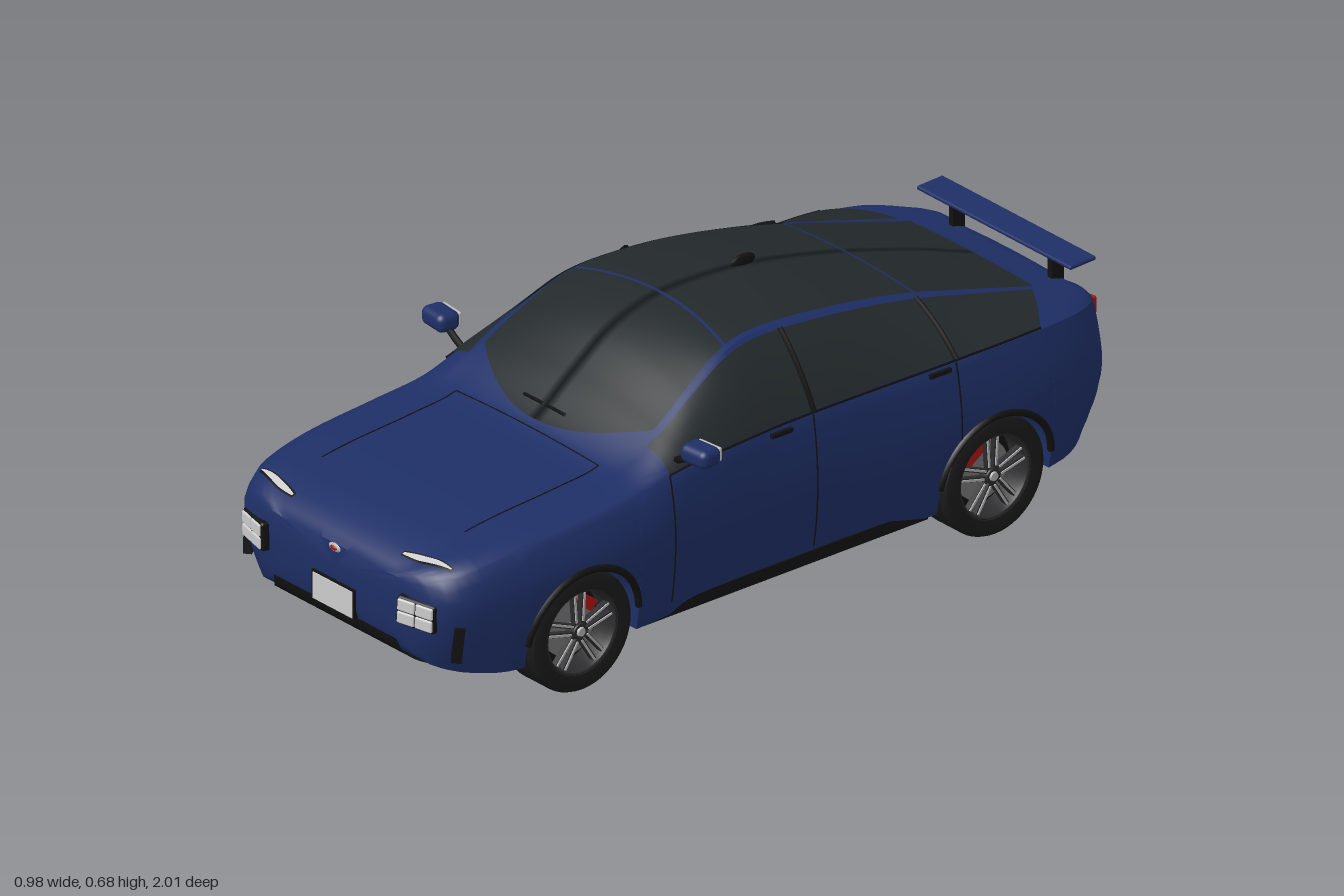
import * as THREE from 'three';
import { toCreasedNormals } from 'three/addons/utils/BufferGeometryUtils.js';
import { RoundedBoxGeometry } from 'three/addons/geometries/RoundedBoxGeometry.js';
import { ParametricGeometry } from 'three/addons/geometries/ParametricGeometry.js';

const mat = (color, side = THREE.DoubleSide) => new THREE.MeshStandardMaterial({ color, side });
const BLUE = mat(0x1e2f66), GLASS = mat(0x23292b), BLACK = mat(0x121212), TYRE = mat(0x1a1a1a),
  RIM = mat(0x2c2c2e), SILVER = mat(0xb4b4b4), LAMP = mat(0xd8d8d8), RED = mat(0xb01414), STEEL = mat(0x777777);
const V = (x, y, z) => new THREE.Vector3(x, y, z);
const { lerp, smoothstep, clamp } = THREE.MathUtils;

// Body sections: z, half width, floor y, belt x, belt y, roof rail x, roof rail y, top y
const ROWS = [
  [0.99, 0.27, 0.2, 0.25, 0.325, 0.18, 0.335, 0.34],
  [0.975, 0.325, 0.155, 0.3, 0.34, 0.22, 0.355, 0.36],
  [0.94, 0.365, 0.13, 0.34, 0.358, 0.25, 0.375, 0.38],
  [0.88, 0.388, 0.115, 0.365, 0.375, 0.27, 0.393, 0.4],
  [0.75, 0.408, 0.105, 0.38, 0.395, 0.28, 0.413, 0.42],
  [0.55, 0.415, 0.1, 0.385, 0.41, 0.285, 0.428, 0.435],
  [0.42, 0.41, 0.1, 0.38, 0.425, 0.29, 0.445, 0.455],
  [0.3, 0.4, 0.1, 0.385, 0.45, 0.3, 0.51, 0.54],
  [0.2, 0.398, 0.1, 0.385, 0.455, 0.287, 0.57, 0.61],
  [0.1, 0.395, 0.1, 0.383, 0.458, 0.27, 0.62, 0.648],
  [0, 0.395, 0.1, 0.38, 0.46, 0.255, 0.637, 0.66],
  [-0.2, 0.395, 0.1, 0.38, 0.46, 0.25, 0.622, 0.648],
  [-0.45, 0.405, 0.1, 0.385, 0.46, 0.235, 0.575, 0.596],
  [-0.7, 0.413, 0.11, 0.385, 0.46, 0.225, 0.505, 0.522],
  [-0.85, 0.395, 0.125, 0.36, 0.45, 0.22, 0.462, 0.468],
  [-0.93, 0.36, 0.14, 0.32, 0.435, 0.21, 0.443, 0.447],
  [-0.975, 0.31, 0.165, 0.28, 0.425, 0.19, 0.432, 0.437],
  [-0.99, 0.26, 0.2, 0.24, 0.41, 0.17, 0.42, 0.425],
];
const WHEEL_Z = [0.605, -0.595], WHEEL_Y = 0.145, ARCH = 0.16;

// Smooth interpolation between section rows
function section(z) {
  z = clamp(z, -0.99, 0.99);
  let i = 0;
  while (i < ROWS.length - 2 && ROWS[i + 1][0] > z) i++;
  const a = ROWS[i], b = ROWS[i + 1], p = ROWS[Math.max(i - 1, 0)], q = ROWS[Math.min(i + 2, ROWS.length - 1)];
  const h = b[0] - a[0], u = (z - a[0]) / h, u2 = u * u, u3 = u2 * u;
  return a.map((v, k) => {
    const m0 = h * (b[k] - p[k]) / (b[0] - p[0]), m1 = h * (q[k] - v) / (q[0] - a[0]);
    return (2 * u3 - 3 * u2 + 1) * v + (u3 - 2 * u2 + u) * m0 + (3 * u2 - 2 * u3) * b[k] + (u3 - u2) * m1;
  });
}

// Lower edge of the side panel, lifted over the wheels
function sill(z, floor) {
  for (const c of WHEEL_Z) {
    const d = Math.abs(z - c);
    if (d <= ARCH) return Math.max(floor, WHEEL_Y + Math.sqrt(ARCH * ARCH - d * d));
  }
  return floor;
}
function sideX(s, z, y) {
  const ym = Math.min(0.3, s[4] - 0.05), k = 0.02 + 0.05 * smoothstep(Math.abs(z), 0.8, 0.99);
  if (y < ym) return s[1] - k * ((ym - y) / (ym - s[2])) ** 2;
  return s[1] + (s[3] - s[1]) * clamp((y - ym) / (s[4] - ym), 0, 1) ** 1.8;
}

// Outer skin: t 0-1 side panel, 1-2 belt to roof rail, 2-3 rail to centre line
function skin(z, t) {
  const s = section(z);
  if (t <= 1) {
    const y = lerp(sill(z, s[2]), s[4], t);
    return V(sideX(s, z, y), y, z);
  }
  if (t <= 2) {
    const u = t - 1, bulge = 0.03 * u * (1 - u);
    return V(lerp(s[3], s[5], u) + bulge, lerp(s[4], s[6], u) + bulge, z);
  }
  const u = t - 2;
  return V(s[5] * (1 - u), s[6] + (s[7] - s[6]) * (1 - (1 - u) ** 2), z);
}
function raised(z, t, off, side = 1) {
  const e = 0.004, tc = Math.min(t, 2.98);
  const n = skin(z - e, tc).sub(skin(z + e, tc)).cross(skin(z, tc + e).sub(skin(z, tc - e))).normalize();
  const p = skin(z, t).addScaledVector(n, off);
  if (t > 2.999) p.x = 0;
  p.x *= side;
  return p;
}
// Point on the upper skin at a given x and z
function onTop(x, z, off) {
  let lo = 1, hi = 3;
  for (let i = 0; i < 24; i++) {
    const m = (lo + hi) / 2;
    if (skin(z, m).x > Math.abs(x)) lo = m; else hi = m;
  }
  return raised(z, lo, off, x < 0 ? -1 : 1);
}

function bodyGeometry() {
  const zs = ROWS.map(r => r[0]);
  for (let i = 0; i < 80; i++) zs.push(0.98 - i * 0.0248);
  for (const c of WHEEL_Z) {
    for (let k = 0; k <= 20; k++) zs.push(c + (ARCH - 0.0002) * Math.cos(k * Math.PI / 20));
    zs.push(c + ARCH + 0.0005, c - ARCH - 0.0005);
  }
  zs.sort((a, b) => b - a);
  const pos = [], idx = [];
  let n = 0;
  for (const z of zs) {
    const s = section(z), low = skin(z, 0), inner = Math.min(0.26, low.x - 0.01);
    const half = [V(0, s[2], z), V(inner, s[2], z), V(inner, low.y, z)];
    for (let k = 0; k <= 28; k++) half.push(skin(z, k <= 20 ? k / 10 : 2 + (k - 20) / 8));
    const ring = [...half, ...half.slice(1, -1).reverse().map(p => V(-p.x, p.y, p.z))];
    n = ring.length;
    ring.forEach(p => pos.push(p.x, p.y, p.z));
  }
  for (let i = 0; i < zs.length - 1; i++) for (let j = 0; j < n; j++) {
    const a = i * n + j, b = i * n + (j + 1) % n;
    idx.push(a, a + n, b, b, a + n, b + n);
  }
  const c = pos.length / 3, last = (zs.length - 1) * n;
  pos.push(0, 0.28, 0.99, 0, 0.3, -0.99);
  for (let j = 0; j < n; j++) {
    const k = (j + 1) % n;
    idx.push(c, j, k, c + 1, last + k, last + j);
  }
  const g = new THREE.BufferGeometry();
  g.setAttribute('position', new THREE.Float32BufferAttribute(pos, 3));
  g.setIndex(idx);
  return toCreasedNormals(g, 0.6);
}

export function createModel() {
  const car = new THREE.Group();
  car.name = 'car';
  const add = (name, geo, m, p = [0, 0, 0], r = [0, 0, 0], parent = car) => {
    const o = new THREE.Mesh(geo, m);
    o.name = name;
    o.position.set(...p);
    o.rotation.set(...r);
    parent.add(o);
    return o;
  };
  const box = (w, h, d) => new THREE.BoxGeometry(w, h, d);
  const sheet = (name, fn, m, nu = 20, nv = 16) =>
    add(name, new ParametricGeometry((u, v, out) => out.copy(fn(u, v)), nu, nv), m);
  const line = (name, pts, r, m = BLACK) =>
    add(name, new THREE.TubeGeometry(new THREE.CatmullRomCurve3(pts), 32, r, 5), m);
  const steps = (n, fn) => Array.from({ length: n + 1 }, (_, i) => fn(i / n));

  add('body', bodyGeometry(), mat(0x1e2f66, THREE.FrontSide));

  // Windscreen, roof and rear glass, each lying across both halves of the roof
  const across = (name, z0, z1) => sheet(name, (u, v) => {
    const w = (2 * v - 1) * 0.96, a = Math.abs(w);
    return raised(lerp(z0(a), z1(a), u), 3 - a, 0.004, Math.sign(w) || 1);
  }, GLASS, 20, 24);
  across('windscreen', a => 0.41 - 0.11 * a * a, a => 0.05 + 0.03 * a * a);
  across('roofPanel', a => 0.042 + 0.03 * a * a, a => -0.485 - 0.015 * a * a);
  across('rearGlass', a => -0.493 - 0.015 * a * a, () => -0.86);

  // Bonnet front shut line
  line('bonnetSeam', steps(10, u => onTop(lerp(-0.245, 0.245, u), 0.43, 0.001)), 0.0015);

  for (const s of [1, -1]) {
    const side = s > 0 ? 'left' : 'right';
    // Side windows, pillars between them, door seams and handles
    const pane = (name, z0, z1, rake = 0) => sheet(side + name, (u, v) =>
      raised(lerp(z0, z1 - rake * v, u), 1.04 + 0.9 * v, 0.004, s), GLASS);
    pane('FrontWindow', 0.34, -0.075);
    pane('RearWindow', -0.085, -0.485);
    pane('QuarterWindow', -0.495, -0.74, 0.1);
    for (const z of [-0.08, -0.49])
      line(side + 'Pillar', steps(8, u => raised(z, 1.03 + 0.92 * u, 0.004, s)), 0.007);
    for (const z of [0.34, -0.08])
      line(side + 'DoorSeam', steps(12, u => raised(z, 0.1 + 0.9 * u, 0, s)), 0.002);
    line(side + 'RearDoorSeam', steps(8, u => raised(-0.49, u, 0, s)), 0.002);
    line(side + 'WindowTrim', steps(20, u => raised(lerp(0.34, -0.74, u), 1.02, 0.003, s)), 0.003);
    for (const z of [0.02, -0.44]) add(side + 'DoorHandle', box(0.01, 0.01, 0.06), BLACK, [s * 0.39, 0.45, z]);
    line(side + 'BonnetSeam', steps(12, u => onTop(s * 0.245, lerp(0.43, 0.82, u), 0.001)), 0.0015);
    add(side + 'Skirt', box(0.03, 0.03, 0.83), BLACK, [s * 0.368, 0.11, 0.005]);

    // Black lips round the wheel arches
    for (const c of WHEEL_Z) line(side + 'WheelArch', steps(24, u => {
      const a = u * Math.PI, z = c + (ARCH - 0.001) * Math.cos(a), p = skin(z, 0);
      return V(s * p.x, p.y, z);
    }), 0.009);

    // Headlamp with four cells, running light strip and bumper vent
    const lamp = new THREE.Group();
    lamp.name = side + 'Headlamp';
    lamp.position.set(s * 0.275, 0.268, 0.975);
    lamp.rotation.set(0, s * 0.28, s * -0.04);
    car.add(lamp);
    add('lampFrame', new RoundedBoxGeometry(0.104, 0.07, 0.04, 2, 0.008), BLACK, [0, 0, 0], [0, 0, 0], lamp);
    for (const x of [-1, 1]) for (const y of [-1, 1])
      add('lampCell', new RoundedBoxGeometry(0.046, 0.029, 0.012, 2, 0.004), LAMP, [x * 0.024, y * 0.0155, 0.018], [0, 0, 0], lamp);
    const strip = (name, grow, off, m) => sheet(side + name, (u, v) => onTop(
      s * lerp(0.19 - grow, 0.325 + grow, u),
      lerp(0.95, 0.925, u) + (v - 0.5) * (0.016 * Math.sin(Math.PI * (0.1 + 0.85 * u)) + 2 * grow), off), m, 16, 4);
    strip('LightSurround', 0.004, 0.002, BLACK);
    strip('RunningLight', 0, 0.004, LAMP);
    add(side + 'BumperVent', box(0.024, 0.085, 0.02), BLACK, [s * 0.36, 0.208, 0.936], [0, s * 0.9, s * -0.1]);

    // Door mirror
    line(side + 'MirrorArm', [V(s * 0.365, 0.465, 0.31), V(s * 0.395, 0.482, 0.31), V(s * 0.425, 0.495, 0.305)], 0.009);
    add(side + 'Mirror', new RoundedBoxGeometry(0.084, 0.046, 0.06, 4, 0.018), BLUE, [s * 0.447, 0.51, 0.305], [0, s * 0.1, 0]);
    add(side + 'MirrorGlass', new RoundedBoxGeometry(0.068, 0.034, 0.008, 2, 0.004), SILVER, [s * 0.444, 0.51, 0.274], [0, s * 0.1, 0]);

    // Tail lamp and spoiler post
    add(side + 'TailLamp', new RoundedBoxGeometry(0.085, 0.045, 0.03, 2, 0.006), RED, [s * 0.225, 0.392, -0.982], [0, s * 0.15, 0]);
    add(side + 'SpoilerPost', box(0.014, 0.08, 0.035), BLACK, [s * 0.17, 0.465, -0.962]);

    WHEEL_Z.forEach((z, i) => addWheel(s, z, side + (i ? 'Rear' : 'Front') + 'Wheel', i ? 1 : -1));
  }

  // Tyre, rim, five split spokes, brake disc and caliper; local y is the axle
  function addWheel(s, z, name, toMiddle) {
    const holder = new THREE.Group(), w = new THREE.Group();
    holder.name = name;
    holder.position.set(s * 0.343, WHEEL_Y, z);
    holder.rotation.y = s > 0 ? 0 : Math.PI;
    w.rotation.z = -Math.PI / 2;
    holder.add(w);
    car.add(holder);
    const lathe = pts => toCreasedNormals(new THREE.LatheGeometry(pts.map(p => new THREE.Vector2(...p)), 48), 0.6);
    const tread = [-0.025, 0, 0.025].flatMap(y => [[0.145, y - 0.005], [0.139, y - 0.003], [0.139, y + 0.003], [0.145, y + 0.005]]);
    const put = (n, g, m, p, r) => add(n, g, m, p, r, w);
    put('tyre', lathe([[0.1, -0.052], [0.13, -0.057], [0.141, -0.052], [0.145, -0.043], ...tread,
      [0.145, 0.043], [0.141, 0.052], [0.13, 0.057], [0.1, 0.052]]), TYRE);
    put('rim', lathe([[0.1, -0.052], [0.095, -0.04], [0.093, 0.035], [0.097, 0.05], [0.103, 0.053]]), RIM);
    put('hubPlate', new THREE.CylinderGeometry(0.094, 0.094, 0.01, 40), BLACK, [0, -0.015, 0]);
    put('brakeDisc', new THREE.CylinderGeometry(0.072, 0.072, 0.01, 40), STEEL, [0, 0.005, 0]);
    const d = toMiddle * s, a = 0.6;
    put('caliper', box(0.028, 0.024, 0.06), RED, [-Math.cos(a) * 0.064, 0.012, d * Math.sin(a) * 0.064], [0, d * a, 0]);
    for (let k = 0; k < 5; k++) {
      const spoke = new THREE.Group();
      spoke.name = 'spoke';
      spoke.rotation.y = k * Math.PI * 0.4 + Math.PI;
      w.add(spoke);
      for (const e of [-1, 1]) {
        add('spokeArm', box(0.08, 0.014, 0.01), RIM, [0.055, 0.036, e * 0.011], [0, -e * 0.07, 0], spoke);
        add('spokeFace', box(0.07, 0.004, 0.005), SILVER, [0.058, 0.044, e * 0.012], [0, -e * 0.07, 0], spoke);
      }
    }
    put('hub', new THREE.CylinderGeometry(0.018, 0.024, 0.022, 20), RIM, [0, 0.036, 0]);
    put('hubCap', new THREE.CylinderGeometry(0.01, 0.012, 0.006, 16), SILVER, [0, 0.049, 0]);
  }

  // Front lower intake and lip, following the rising floor
  const under = (name, z0, z1, w0, w1) => sheet(name, (u, v) => {
    const z = lerp(z0, z1, u);
    return V((2 * v - 1) * lerp(w0, w1, u), section(z)[2] - 0.004, z + 0.003);
  }, BLACK, 10, 10);
  under('frontIntake', 0.95, 0.986, 0.25, 0.21);
  under('frontLip', 0.85, 0.95, 0.3, 0.25);

  // Number plates and plain oval badges
  for (const [end, f, y, frame] of [['front', 1, 0.214, 0.146], ['rear', -1, 0.25, 0.14]]) {
    add(end + 'PlateFrame', box(frame, 0.074, 0.012), BLACK, [0, y, f * 0.99]);
    add(end + 'Plate', box(0.136, 0.065, 0.008), mat(0xc4c4c4), [0, y, f * 0.994]);
    const oval = new THREE.SphereGeometry(1, 24, 12);
    add(end + 'BadgeRim', oval, SILVER, [0, 0.33, f * 0.988]).scale.set(0.021, 0.011, 0.007);
    add(end + 'Badge', oval, RED, [0, 0.33, f * 0.99]).scale.set(0.014, 0.007, 0.007);
  }

  // Rear light bar, valance and spoiler
  add('tailBar', box(0.4, 0.03, 0.014), BLACK, [0, 0.392, -0.988]);
  add('tailBarStrip', box(0.38, 0.008, 0.014), RED, [0, 0.404, -0.99]);
  add('rearValance', box(0.36, 0.075, 0.012), BLACK, [0, 0.238, -0.987]);
  add('spoiler', new RoundedBoxGeometry(0.53, 0.01, 0.076, 2, 0.004), BLUE, [0, 0.507, -0.962], [0.04, 0, 0]);

  // Wipers and roof aerial
  for (const x of [-0.07, 0.005])
    line('wiper', steps(6, u => onTop(x + 0.065 * u, 0.375, 0.009)), 0.004);
  add('aerial', new THREE.SphereGeometry(1, 16, 12), BLACK, [0, 0.66, -0.195]).scale.set(0.009, 0.017, 0.036);
  return car;
}
